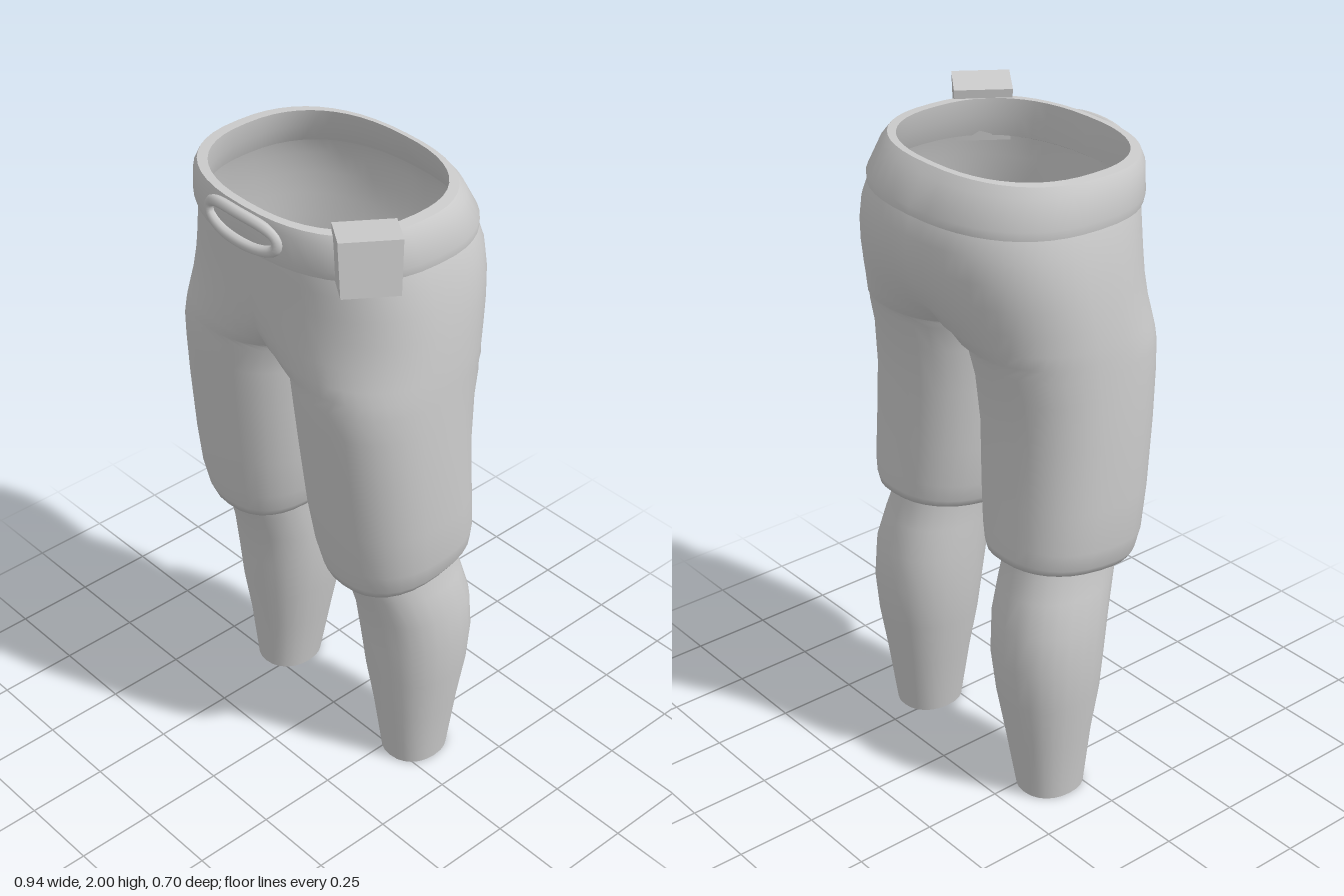
import * as THREE from 'three';
import { mergeVertices, mergeGeometries, toCreasedNormals } from 'three/addons/utils/BufferGeometryUtils.js';

const grey = new THREE.MeshStandardMaterial({ color: 0xcccccc, side: THREE.DoubleSide });

// Row: [y, outer x, inner x, front z, back z, roundness, slant]
// A row with inner x below 0 is cut open at x = 0, so the mirrored halves join there.
function section([y, xo, xi, zf, zb, p = 2.3, slant = 0], segs) {
  const cx = (xo + xi) / 2, rx = (xo - xi) / 2, cz = (zf + zb) / 2, rz = (zf - zb) / 2;
  const pw = (v) => Math.sign(v) * Math.abs(v) ** (2 / p);
  const end = xi >= 0 ? Math.PI : Math.acos(-((cx / rx) ** (p / 2)));
  const pts = [];
  for (let i = 0; i <= segs; i++) {
    const a = end * (1 - 2 * i / segs);
    let x = cx + rx * pw(Math.cos(a));
    if (xi < 0 && (i === 0 || i === segs)) x = 0;
    const z = cz + rz * pw(Math.sin(a));
    pts.push([x, y - slant * z, z]);
  }
  return pts;
}

// Lofts the rows, listed from bottom to top, on one side of the body
function loftSide(rows, side, segs) {
  const pos = [], index = [], n = segs + 1;
  rows.forEach((r) => section(r, segs).forEach(([x, y, z]) => pos.push(side * x, y, z)));
  for (let j = 0; j < rows.length - 1; j++) {
    for (let i = 0; i < segs; i++) {
      const a = j * n + i, b = a + 1, c = a + n, d = c + 1;
      if (side > 0) index.push(a, b, c, b, d, c);
      else index.push(a, c, b, b, c, d);
    }
  }
  const g = new THREE.BufferGeometry();
  g.setAttribute('position', new THREE.Float32BufferAttribute(pos, 3));
  g.setIndex(index);
  return g;
}

function loftBoth(rows, segs) {
  const g = mergeVertices(mergeGeometries([loftSide(rows, 1, segs), loftSide(rows, -1, segs)]), 1e-4);
  g.computeVertexNormals();
  return g;
}

function add(parent, name, geometry) {
  const m = new THREE.Mesh(geometry, grey);
  m.name = name;
  parent.add(m);
  return m;
}

export function createModel() {
  const model = new THREE.Group();
  model.name = 'shortsWithLegs';

  // Knee-length shorts: slanted hem, two legs, joined pelvis
  add(model, 'shorts', loftBoth([
    [0.82, 0.425, 0.095, 0.175, -0.205, 2.4, 0.14],
    [0.785, 0.435, 0.08, 0.195, -0.225, 2.4, 0.14],
    [0.81, 0.452, 0.066, 0.205, -0.226, 2.4, 0.12],
    [0.87, 0.465, 0.05, 0.22, -0.225, 2.4, 0.08],
    [1.0, 0.47, 0.03, 0.24, -0.22, 2.35, 0.03],
    [1.2, 0.468, 0.016, 0.263, -0.217, 2.3],
    [1.34, 0.463, 0.007, 0.277, -0.23, 2.3],
    [1.42, 0.459, 0, 0.284, -0.25, 2.3],
    [1.46, 0.457, -0.05, 0.287, -0.267, 2.3],
    [1.5, 0.454, -0.13, 0.29, -0.285, 2.3],
    [1.56, 0.449, -0.25, 0.293, -0.312, 2.3],
    [1.63, 0.441, -0.36, 0.297, -0.337, 2.35],
    [1.7, 0.431, -0.42, 0.302, -0.35, 2.4],
    [1.77, 0.417, -0.417, 0.307, -0.35, 2.4],
    [1.83, 0.4, -0.4, 0.312, -0.333, 2.4],
    [1.9, 0.375, -0.375, 0.31, -0.295, 2.4],
  ], 32));

  // Belt: outer band, rounded top edge and inner lining
  add(model, 'belt', toCreasedNormals(loftBoth([
    [1.84, 0.395, -0.395, 0.305, -0.32, 2.4],
    [1.825, 0.404, -0.404, 0.32, -0.338, 2.4],
    [1.85, 0.407, -0.407, 0.327, -0.337, 2.4],
    [1.93, 0.388, -0.388, 0.329, -0.292, 2.4],
    [1.955, 0.372, -0.372, 0.322, -0.272, 2.4],
    [1.957, 0.338, -0.338, 0.3, -0.255, 2.4],
    [1.9, 0.345, -0.345, 0.296, -0.27, 2.4],
    [1.84, 0.37, -0.37, 0.3, -0.305, 2.4],
  ], 24), 0.7));

  // Lower legs, open at both ends
  const legRows = [
    [0, 0.39, 0.205, 0.03, -0.175, 2.2],
    [0.2, 0.412, 0.17, 0.052, -0.205, 2.2],
    [0.35, 0.434, 0.142, 0.075, -0.23, 2.2],
    [0.48, 0.441, 0.127, 0.09, -0.244, 2.2],
    [0.6, 0.438, 0.122, 0.108, -0.237, 2.2],
    [0.7, 0.42, 0.122, 0.138, -0.212, 2.2],
    [0.77, 0.405, 0.122, 0.162, -0.192, 2.2],
    [0.85, 0.4, 0.115, 0.175, -0.183, 2.2],
  ];
  for (const side of [1, -1]) {
    const g = mergeVertices(loftSide(legRows, side, 24), 1e-4);
    g.computeVertexNormals();
    add(model, side > 0 ? 'leftLowerLeg' : 'rightLowerLeg', g);
  }

  // Oval buckle bowed around the front of the belt
  const oval = [];
  for (let i = 0; i < 24; i++) {
    const a = i / 24 * Math.PI * 2;
    const c = Math.cos(a), s = Math.sin(a);
    const x = 0.137 * Math.sign(c) * Math.abs(c) ** 0.8;
    oval.push(new THREE.Vector3(x, 1.895 + 0.043 * Math.sign(s) * Math.abs(s) ** 0.8, 0.336 - 0.9 * x * x));
  }
  add(model, 'buckle', new THREE.TubeGeometry(new THREE.CatmullRomCurve3(oval, true), 64, 0.016, 8, true));

  // Pouch on the left hip: tapered box with a pointed flap
  const pouch = new THREE.Group();
  pouch.name = 'pouch';
  const box = new THREE.BoxGeometry(0.17, 0.16, 0.125);
  const p = box.attributes.position;
  for (let i = 0; i < p.count; i++) if (p.getY(i) < 0) p.setX(i, p.getX(i) * 0.93);
  box.computeVertexNormals();
  add(pouch, 'pouchBody', box);
  const flap = new THREE.Shape([[-0.085, 0.08], [0, 0.012], [0.085, 0.08]].map(([x, y]) => new THREE.Vector2(x, y)));
  add(pouch, 'pouchFlap', new THREE.ExtrudeGeometry(flap, { depth: 0.008, bevelEnabled: false })).position.z = 0.062;
  pouch.position.set(0.363, 1.91, 0.21);
  pouch.rotation.set(-0.11, 0.96, 0, 'YXZ');
  model.add(pouch);

  return model;
}
